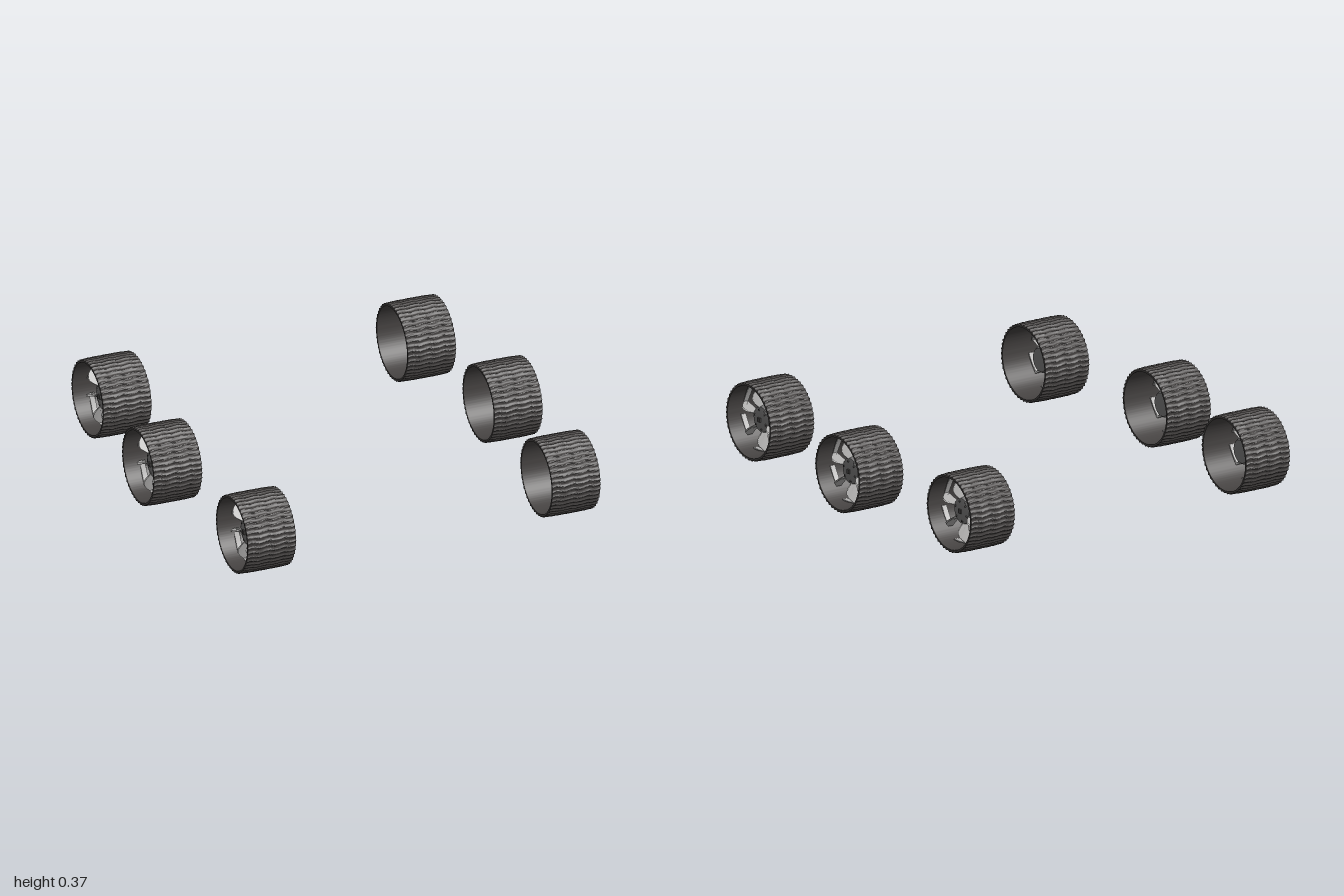
import * as THREE from 'three';
import { toCreasedNormals } from 'three/addons/utils/BufferGeometryUtils.js';

const RADIUS = 0.187, HALF_WIDTH = 0.12, CLEATS = 48, SPOKES = 6;

function flat(color, name) {
  const material = new THREE.MeshStandardMaterial({ color });
  material.name = name;
  return material;
}
const tyreMat = flat(0x464342, 'dark tyre');
const hubMat = flat(0x787777, 'grey hub');
const spokeMat = flat(0xb0afae, 'light spoke metal');
const boltMat = flat(0x484645, 'dark bolt');

// Thin hollow drum, slightly crowned, with narrow wavy cleats running across it
function tyreGeometry() {
  const profile = [], steps = 16;
  for (let i = 0; i <= steps; i++) {
    const t = (i / steps) * 2 - 1;
    profile.push(new THREE.Vector2(0.181 - 0.003 * t ** 4, t * HALF_WIDTH));
  }
  profile.push(new THREE.Vector2(0.17, HALF_WIDTH), new THREE.Vector2(0.17, -HALF_WIDTH), profile[0].clone());
  const g = new THREE.LatheGeometry(profile, CLEATS * 5);
  const p = g.attributes.position;
  for (let i = 0; i < p.count; i++) {
    const x = p.getX(i), y = p.getY(i), z = p.getZ(i), r = Math.hypot(x, z);
    if (r < 0.174) continue;
    const angle = Math.atan2(z, x) + 0.016 * Math.sin(y * 80);
    const cleat = (0.5 + 0.5 * Math.cos(angle * CLEATS)) ** 2;
    const k = (r + 0.006 * cleat) / r;
    p.setXYZ(i, x * k, y, z * k);
  }
  g.rotateZ(-Math.PI / 2);
  return toCreasedNormals(g, 0.6);
}

// Leaf spring: arches outward from the hub, then bends along the rim.
// The sign of turn sets which way the foot bends.
function spokeGeometry(turn) {
  const near = [], far = [], half = 0.0035, steps = 8;
  for (let i = 0; i <= steps; i++) {
    const r = 0.052 + (i / steps) * 0.098;
    far.push([r - (i === steps ? 0.003 : 0), -half]);
    near.push([r + (i === steps ? 0.003 : 0), half]);
  }
  for (let i = 1; i <= steps; i++) {
    const t = i / steps, r = 0.15 + 0.018 * t * t;
    const a = -0.03 - 0.58 * t;
    far.push([(r - 0.003) * Math.cos(a), (r - 0.003) * Math.sin(a)]);
    near.push([(r + 0.003) * Math.cos(a), (r + 0.003) * Math.sin(a)]);
  }
  const outline = [...far, ...near.reverse()];
  const shape = new THREE.Shape(outline.map(([x, y]) => new THREE.Vector2(x, y * turn)));
  const g = new THREE.ExtrudeGeometry(shape, { depth: 0.026, bevelEnabled: false });
  const p = g.attributes.position;
  for (let i = 0; i < p.count; i++) {
    const t = THREE.MathUtils.clamp((Math.hypot(p.getX(i), p.getY(i)) - 0.052) / 0.098, 0, 1);
    p.setZ(i, p.getZ(i) + 0.035 * Math.sin(Math.PI * t));
  }
  g.rotateY(Math.PI / 2); // depth now runs along +x, radius along -z
  return toCreasedNormals(g, 0.6);
}

// Turned part around the x axle; points are [radius, x]
function turned(points) {
  const g = new THREE.LatheGeometry(points.map(([r, x]) => new THREE.Vector2(r, x)), 32);
  g.rotateZ(-Math.PI / 2);
  return toCreasedNormals(g, 0.5);
}

const tyreGeo = tyreGeometry();
const leftSpokeGeo = spokeGeometry(1);
const rightSpokeGeo = spokeGeometry(-1);
const hubGeo = turned([[0, -0.03], [0.055, -0.03], [0.062, -0.02], [0.065, 0.03], [0.06, 0.05], [0.035, 0.058], [0, 0.058]]);
const boltGeo = new THREE.CylinderGeometry(0.005, 0.005, 0.008, 8).rotateZ(-Math.PI / 2);
const capGeo = new THREE.BoxGeometry(0.01, 0.02, 0.02);

function add(group, geometry, material, name) {
  const mesh = new THREE.Mesh(geometry, material);
  mesh.name = name;
  group.add(mesh);
  return mesh;
}

// One wheel, outer side facing +x; side is 1 for left and -1 for right
function makeWheel(name, side) {
  const wheel = new THREE.Group();
  wheel.name = name;
  add(wheel, tyreGeo, tyreMat, 'tyre');
  add(wheel, hubGeo, hubMat, 'hub');
  add(wheel, capGeo, boltMat, 'axleCap').position.x = 0.06;
  for (let i = 0; i < SPOKES; i++) {
    const angle = 0.73 + (i / SPOKES) * Math.PI * 2;
    const a = side > 0 ? angle : Math.PI - angle; // right wheels mirror left ones
    const spoke = add(wheel, side > 0 ? leftSpokeGeo : rightSpokeGeo, spokeMat, 'spoke');
    spoke.position.x = 0.022;
    spoke.rotation.x = a;
    const bolt = add(wheel, boltGeo, boltMat, 'hubBolt');
    bolt.position.set(0.054, 0.046 * Math.sin(a), -0.046 * Math.cos(a));
  }
  return wheel;
}

export function createModel() {
  const model = new THREE.Group();
  model.name = 'wheelSet';
  const axles = [['front', 0.762, 0.813], ['middle', 0.852, -0.041], ['rear', 0.762, -0.813]];
  for (const [label, x, z] of axles) {
    for (const side of [1, -1]) {
      const wheel = makeWheel(label + (side > 0 ? 'Left' : 'Right') + 'Wheel', side);
      wheel.position.set(side * x, RADIUS, z);
      if (side < 0) wheel.rotation.y = Math.PI;
      model.add(wheel);
    }
  }
  return model;
}
